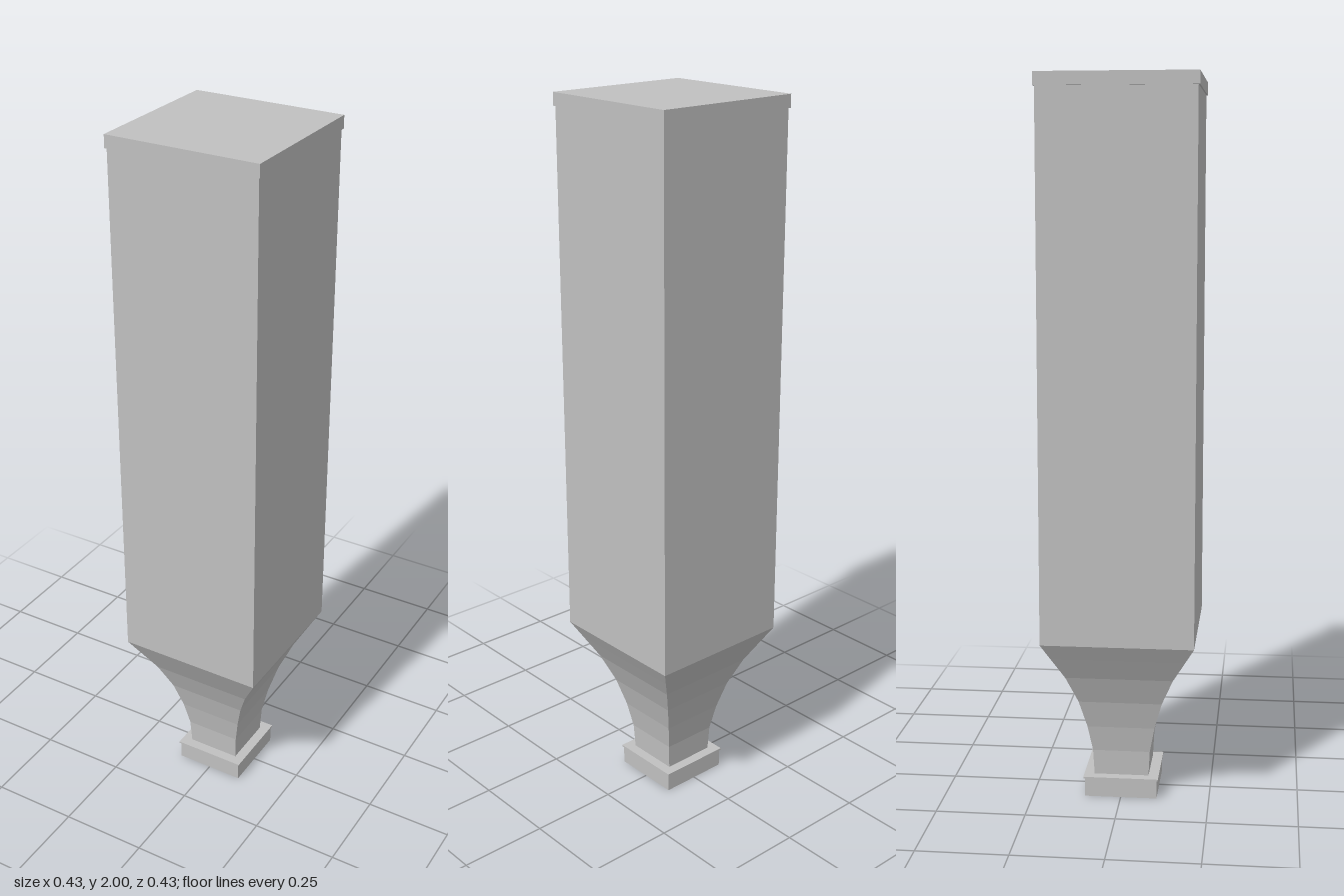
import * as THREE from 'three';

// Square shell swept up a profile of [half width, height] points, with crisp facets.
function squareShell(profile) {
  const points = profile.map(([half, y]) => new THREE.Vector2(half * Math.SQRT2, y));
  const geometry = new THREE.LatheGeometry(points, 4, Math.PI / 4).toNonIndexed();
  geometry.computeVertexNormals();
  return geometry;
}

export function createModel() {
  const model = new THREE.Group();
  model.name = 'squareHopper';

  const grey = new THREE.MeshStandardMaterial({ color: 0xc0c0c0, side: THREE.DoubleSide });
  grey.name = 'plain grey';

  const add = (name, geometry, y = 0) => {
    const mesh = new THREE.Mesh(geometry, grey);
    mesh.name = name;
    mesh.position.y = y;
    model.add(mesh);
  };

  // Lid, overhanging the body slightly
  add('lid', new THREE.BoxGeometry(0.43, 0.035, 0.43), 1.9825);

  // Tall straight body
  add('body', squareShell([[0.211, 0.475], [0.211, 1.97]]));

  // Concave funnel narrowing to the neck
  add('funnel', squareShell([
    [0.077, 0.055], [0.081, 0.13], [0.095, 0.205], [0.117, 0.285],
    [0.15, 0.365], [0.186, 0.43], [0.211, 0.475],
  ]));

  // Outlet collar: thin plate with a hollow skirt open below
  add('collarPlate', new THREE.BoxGeometry(0.212, 0.005, 0.212), 0.0555);
  add('collarSkirt', squareShell([[0.102, 0], [0.102, 0.054]]));

  return model;
}
